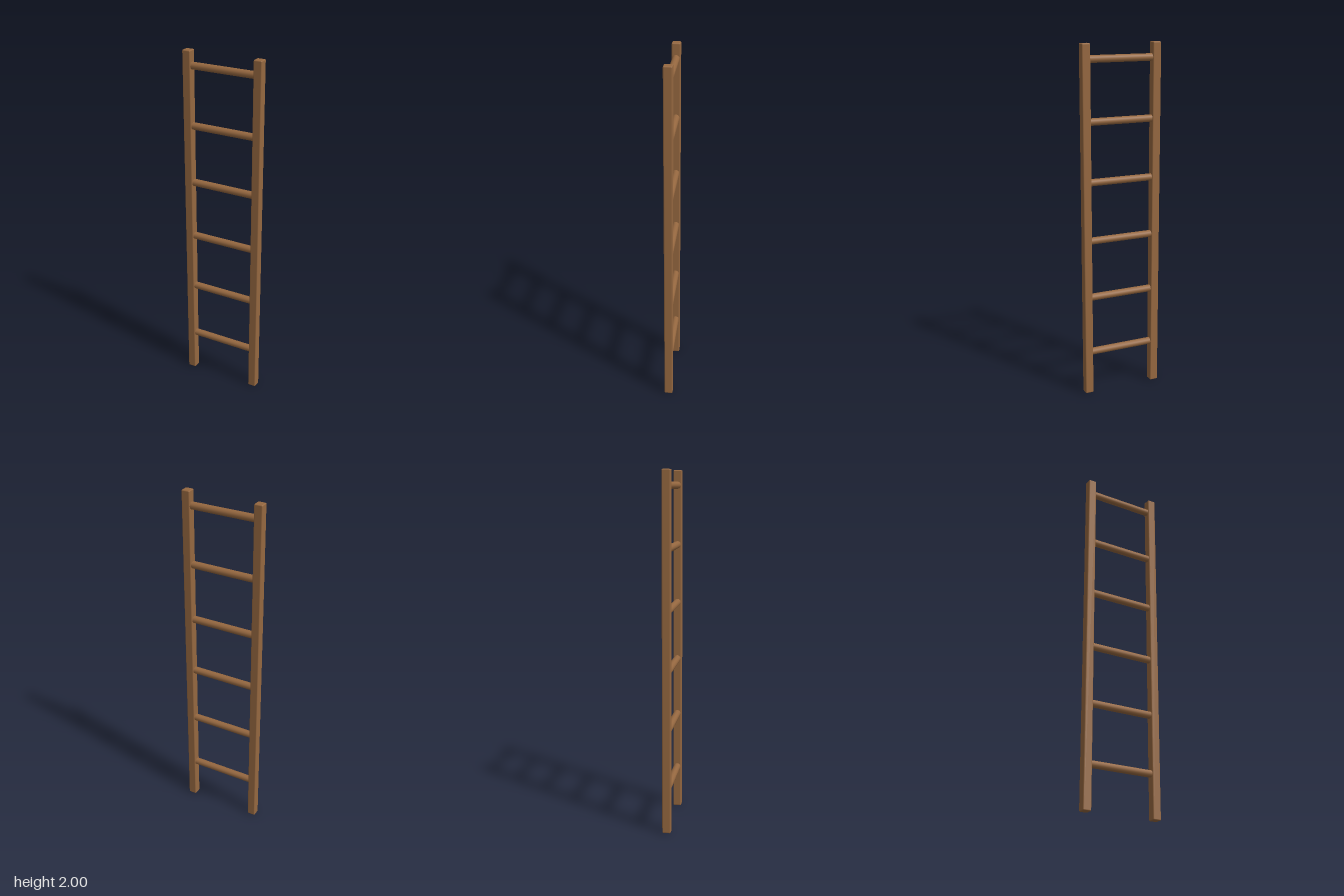
import * as THREE from 'three';
import { RoundedBoxGeometry } from 'three/addons/geometries/RoundedBoxGeometry.js';

export function createModel() {
  const ladder = new THREE.Group();
  ladder.name = 'ladder';

  const wood = new THREE.MeshStandardMaterial({ color: 0x966840 });
  wood.name = 'brown wood';

  const railX = 0.209, railWidth = 0.048;

  // Two upright side rails with softened edges
  const railGeometry = new RoundedBoxGeometry(railWidth, 2, railWidth, 2, 0.006);
  for (const [side, name] of [[1, 'leftRail'], [-1, 'rightRail']]) {
    const rail = new THREE.Mesh(railGeometry, wood);
    rail.name = name;
    rail.position.set(side * railX, 1, 0);
    ladder.add(rail);
  }

  // Six evenly spaced round rungs, seated inside the rails
  const rungGeometry = new THREE.CylinderGeometry(0.0205, 0.0205, railX * 2, 12);
  rungGeometry.rotateZ(Math.PI / 2);
  for (let i = 0; i < 6; i++) {
    const rung = new THREE.Mesh(rungGeometry, wood);
    rung.name = `rung${i + 1}`;
    rung.position.y = 0.25 + i / 3;
    ladder.add(rung);
  }

  return ladder;
}
